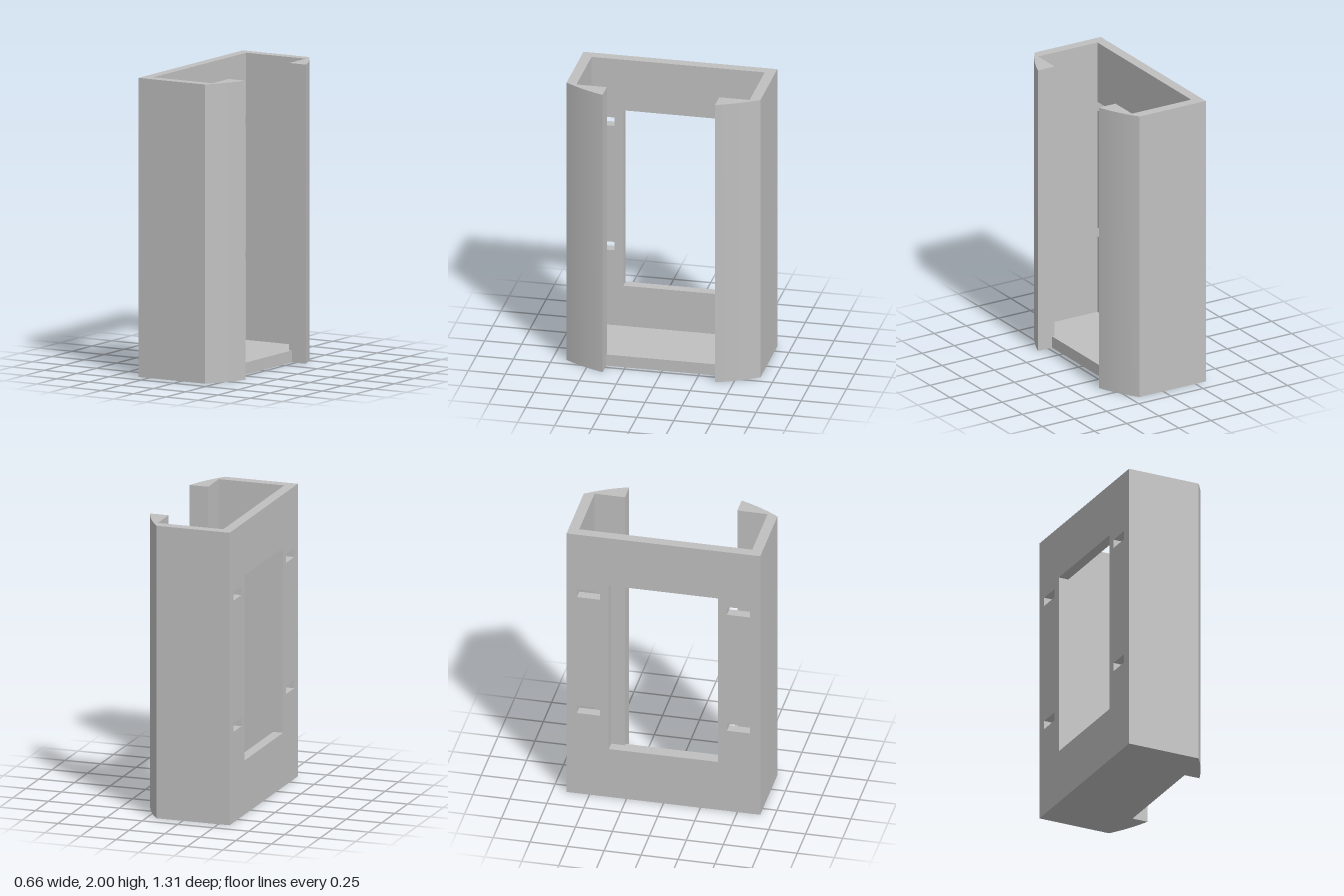
import * as THREE from 'three';
import { toCreasedNormals } from 'three/addons/utils/BufferGeometryUtils.js';

const H = 2;          // height
const BACK = -0.33;   // outer face of the back plate
const INNER = -0.26;  // inner face of the back plate
const OUT_Z = 0.655, IN_Z = 0.585, LIP_Z = 0.38;

// Extrude a plan outline of [x, z] points upwards from y = 0
function extrudePlan(points, height) {
  const shape = new THREE.Shape(points.map(([x, z]) => new THREE.Vector2(x, -z)));
  const geo = new THREE.ExtrudeGeometry(shape, { depth: height, bevelEnabled: false });
  geo.rotateX(-Math.PI / 2);
  return toCreasedNormals(geo, 0.3);
}

function rectHole(z0, z1, y0, y1) {
  return new THREE.Path([[z0, y0], [z0, y1], [z1, y1], [z1, y0]].map(p => new THREE.Vector2(...p)));
}

export function createModel() {
  const group = new THREE.Group();
  const grey = new THREE.MeshStandardMaterial({ color: 0xc0c0c0 });
  grey.name = 'grey';
  const add = (name, geo) => {
    const mesh = new THREE.Mesh(geo, grey);
    mesh.name = name;
    group.add(mesh);
    return mesh;
  };

  // Back plate with a large window and four strap slots
  const plate = new THREE.Shape([[-OUT_Z, 0], [OUT_Z, 0], [OUT_Z, H], [-OUT_Z, H]]
    .map(p => new THREE.Vector2(...p)));
  plate.holes.push(rectHole(-0.37, 0.37, 0.37, 1.635));
  for (const y of [0.62, 1.517]) {
    plate.holes.push(rectHole(0.43, IN_Z, y, y + 0.06), rectHole(-IN_Z, -0.43, y, y + 0.06));
  }
  const plateGeo = new THREE.ExtrudeGeometry(plate, { depth: INNER - BACK, bevelEnabled: false });
  plateGeo.rotateY(-Math.PI / 2);
  add('backPlate', plateGeo).position.x = INNER;

  // Side walls ending in curved retaining lips
  const cx = -0.724, r = 1.12;
  const a0 = Math.asin(OUT_Z / r), a1 = Math.asin(LIP_Z / r);
  for (const s of [1, -1]) {
    const pts = [[INNER, IN_Z], [INNER, OUT_Z]];
    for (let i = 0; i <= 16; i++) {
      const a = a0 + (a1 - a0) * i / 16;
      pts.push([cx + r * Math.cos(a), r * Math.sin(a)]);
    }
    pts.push([0.2, LIP_Z], [0.2, IN_Z]);
    add(s > 0 ? 'frontSideWall' : 'backSideWall', extrudePlan(pts.map(([x, z]) => [x, z * s]), H));
  }

  // Floor, stepping out between the lips
  add('floor', extrudePlan([
    [INNER, -IN_Z], [0.2, -IN_Z], [0.2, -LIP_Z], [0.22, -LIP_Z],
    [0.22, LIP_Z], [0.2, LIP_Z], [0.2, IN_Z], [INNER, IN_Z],
  ], 0.08));

  return group;
}
